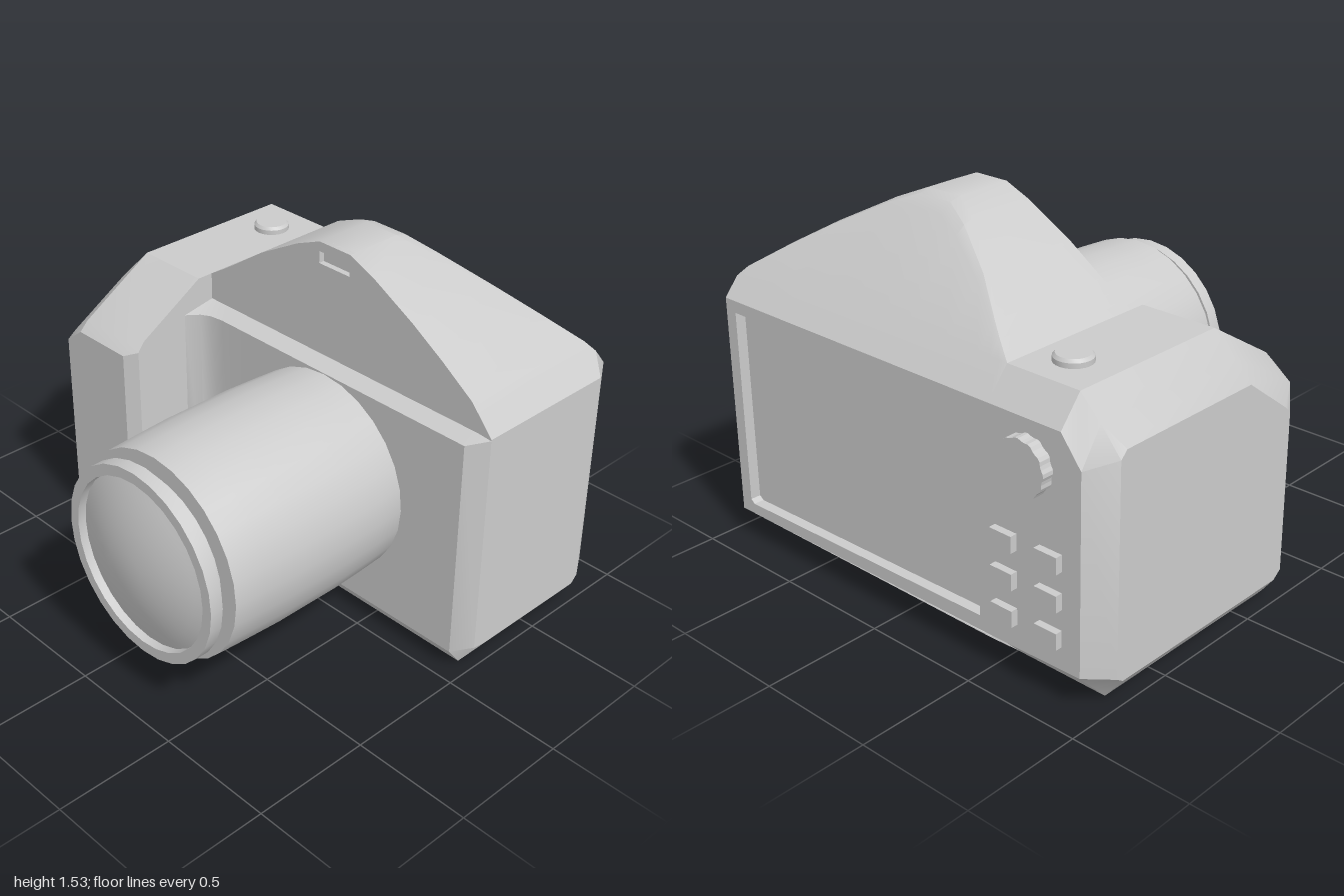
import * as THREE from 'three';
import { toCreasedNormals } from 'three/addons/utils/BufferGeometryUtils.js';

const BACK = 0.875; // rear wall
const FACE = 0.13; // front wall of the finder hump

// hump outline as [z, y]
const HUMP = [[1, 1.055], [0.935, 1.13], [0.9, 1.17], [0.75, 1.275], [0.6, 1.37], [0.4, 1.48], [0.28, 1.53],
  [0.12, 1.53], [0, 1.48], [-0.2, 1.37], [-0.36, 1.26], [-0.42, 1.22], [-0.46, 1.195], [-0.5, 1.17]];

// skins [x, y] sections placed along falling z; leaves out the walls that get panels with openings
function loft(sections) {
  const pos = [];
  const n = sections[0].pts.length;
  const at = (i, j) => [...sections[i].pts[j % n], sections[i].z];
  const tri = (...v) => v.forEach((p) => pos.push(...p));
  for (let i = 0; i < sections.length - 1; i++) {
    for (let j = 0; j < n; j++) {
      const a = at(i, j), b = at(i, j + 1), c = at(i + 1, j + 1), d = at(i + 1, j);
      if ([BACK, FACE].some((x) => [a, b, c, d].every((p) => p[0] === x))) continue;
      tri(a, d, b);
      tri(b, d, c);
    }
  }
  const e = sections.length - 1;
  for (let j = 1; j < n - 1; j++) {
    tri(at(0, 0), at(0, j), at(0, j + 1));
    tri(at(e, 0), at(e, j + 1), at(e, j));
  }
  const geo = new THREE.BufferGeometry();
  geo.setAttribute('position', new THREE.Float32BufferAttribute(pos, 3));
  return toCreasedNormals(geo, 0.45);
}

// upright plate in the z-y plane with one opening, from x to x + depth
function panel(outline, hole, x, depth) {
  const v = (p) => p.map(([z, y]) => new THREE.Vector2(-z, y));
  const shape = new THREE.Shape(v(outline));
  shape.holes.push(new THREE.Path(v(hole)));
  const geo = new THREE.ExtrudeGeometry(shape, { depth, bevelEnabled: false });
  return geo.rotateY(Math.PI / 2).translate(x, 0, 0);
}

export function createModel() {
  const group = new THREE.Group();
  const material = new THREE.MeshStandardMaterial({ color: 0xcccccc, side: THREE.DoubleSide });
  const add = (name, geo, x = 0, y = 0, z = 0) => {
    const mesh = new THREE.Mesh(geo, material);
    mesh.name = name;
    mesh.position.set(x, y, z);
    group.add(mesh);
    return mesh;
  };

  // body with the finder hump and the fillet towards the grip
  add('body', loft(HUMP.map(([z, h]) => {
    const end = z === 1;
    const fillet = { '-0.42': 0.052, '-0.46': 0.03, '-0.5': -0.02 }[z] ?? 0.06;
    const xf = end ? FACE : fillet;
    const t = Math.max(0, (h - 1.17) / 0.36);
    const bx = end ? 0.77 : BACK;
    const low = Math.min(h, 1.17);
    const shoulder = end ? 0.77 : BACK - (low - 1.055) * 0.83;
    const ridge = shoulder - 0.4 * t;
    const y0 = end ? 0.09 : 0;
    return { z, pts: [
      [xf, end ? 0.1 : 0.08], [xf + 0.06, y0], [0.74, y0], [bx, 0.12], [bx, 1.055],
      [shoulder, low], [ridge + 0.1 * t, h - 0.05 * t], [ridge + 0.05 * t, h - 0.012 * t], [ridge, h],
      [FACE, h], [FACE, 1.055], [xf, end ? 1.05 : 1.03],
    ] };
  })));

  // grip with chamfered edges
  const top = [[BACK, 0.14], [BACK, 1.055], [0.78, 1.17], [0.06, 1.17]];
  add('grip', loft([
    { z: -0.5, pts: [[-0.27, 0.14], [-0.17, 0.07], [0.74, 0], ...top, [-0.24, 0.99], [-0.27, 0.95]] },
    { z: -0.55, pts: [[-0.31, 0.16], [-0.2, 0], [0.74, 0], ...top, [-0.27, 0.97], [-0.31, 0.93]] },
    { z: -0.83, pts: [[-0.31, 0.16], [-0.2, 0], [0.74, 0], ...top, [-0.27, 0.97], [-0.31, 0.93]] },
    { z: -0.92, pts: [[-0.31, 0.16], [-0.2, 0], [0.74, 0], [BACK, 0.14], [BACK, 0.94],
      [0.78, 1.08], [0.06, 1.08], [-0.27, 0.89], [-0.31, 0.86]] },
    { z: -1, pts: [[-0.2, 0.13], [-0.16, 0.1], [0.74, 0.1], [0.77, 0.12], [0.77, 0.97],
      [0.74, 1], [0.06, 1], [-0.17, 0.83], [-0.2, 0.8]] },
  ]));

  // rear wall with the sunken screen
  add('rearPanel', panel(
    [[0.935, 0.12], [-0.5, 0.13], [-0.92, 0.14], [-0.92, 0.94], [-0.83, 1.055], [0.935, 1.055]],
    [[0.88, 0.18], [0.86, 0.165], [-0.44, 0.19], [-0.44, 1.005], [0.88, 1.005]], BACK - 0.05, 0.05));
  add('screen', new THREE.BoxGeometry(0.02, 0.86, 1.34), BACK - 0.055, 0.585, 0.22);

  // hump front with a small slot
  add('humpFront', panel([...HUMP, [-0.5, 1.055]],
    [[0.28, 1.44], [0.12, 1.44], [0.12, 1.49], [0.28, 1.49]], FACE, 0.025));
  add('slotFloor', new THREE.BoxGeometry(0.01, 0.06, 0.18), FACE + 0.03, 1.465, 0.2);

  // lens barrel with groove, rim and domed glass, turned towards -x
  const profile = [[0.425, -0.08], [0.432, 0.05], [0.438, 0.2], [0.438, 0.5], [0.432, 0.65], [0.425, 0.79],
    [0.35, 0.79], [0.35, 0.83], [0.4, 0.83], [0.4, 0.885], [0.355, 0.885], [0.355, 0.85]];
  const turned = (pts) => toCreasedNormals(
    new THREE.LatheGeometry(pts.map(([r, h]) => new THREE.Vector2(r, h)), 28).rotateZ(Math.PI / 2), 0.5);
  add('lensBarrel', turned(profile), 0, 0.6, 0.225);
  const dome = [];
  for (let i = 0; i <= 6; i++) {
    const r = 0.355 * (1 - i / 6);
    dome.push([r, 0.928 - 0.078 * (r / 0.355) ** 2]);
  }
  add('lensGlass', turned(dome), 0, 0.6, 0.225);

  // shutter button
  const shutter = [[0.075, -0.01], [0.075, 0.02], [0.065, 0.032], [0, 0.032]];
  add('shutterButton', toCreasedNormals(
    new THREE.LatheGeometry(shutter.map(([r, h]) => new THREE.Vector2(r, h)), 24), 0.5), 0.61, 1.17, -0.65);

  // fluted dial
  const rim = new THREE.Shape();
  for (let i = 0; i < 48; i++) {
    const a = (i / 48) * Math.PI * 2;
    const r = i % 4 < 2 ? 0.112 : 0.107;
    rim[i ? 'lineTo' : 'moveTo'](r * Math.cos(a), r * Math.sin(a));
  }
  add('dial', new THREE.ExtrudeGeometry(rim, { depth: 0.06, bevelEnabled: false }).rotateY(Math.PI / 2),
    BACK - 0.01, 0.89, -0.685);

  // rear buttons
  for (const y of [0.265, 0.415, 0.565]) {
    for (const z of [-0.575, -0.785]) {
      add('rearButton', new THREE.BoxGeometry(0.04, 0.067, 0.103), BACK + 0.01, y, z);
    }
  }
  return group;
}
